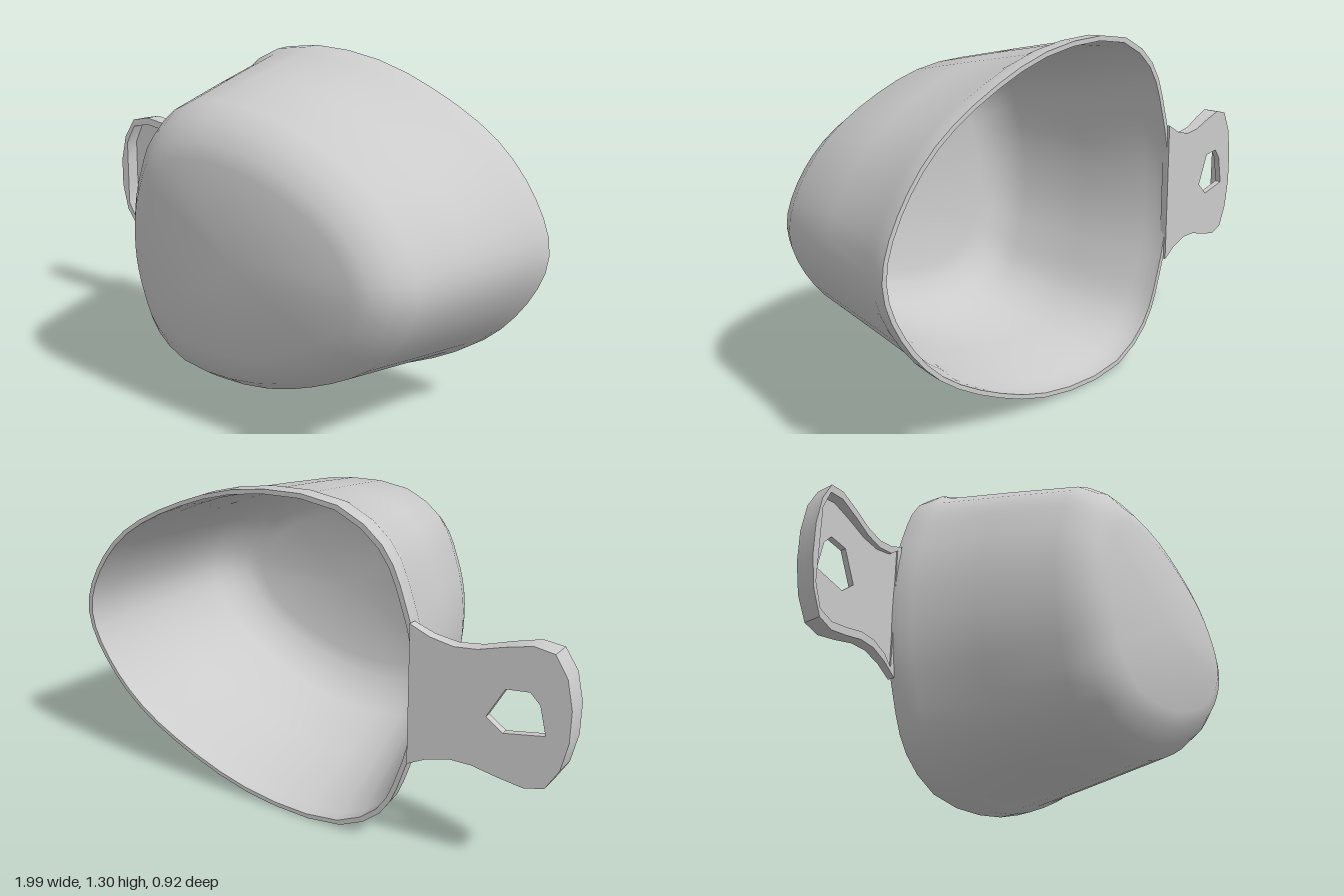
import * as THREE from 'three';
import { toCreasedNormals } from 'three/addons/utils/BufferGeometryUtils.js';

const MID = 0.65; // height of the mirror plane
const V3 = (x, y, z) => new THREE.Vector3(x, y, z);

// Closed egg outline, u = 0..1 along its length, v = -1..1 across
function eggOutline(count) {
  const half = [[0, 0], [0.006, 0.22], [0.03, 0.46], [0.1, 0.81], [0.21, 0.97], [0.33, 1],
    [0.5, 0.955], [0.67, 0.82], [0.84, 0.6], [0.955, 0.3], [1, 0]];
  const lower = half.slice(1, -1).reverse().map(([u, v]) => [u, -v]);
  const curve = new THREE.CatmullRomCurve3([...half, ...lower].map(([u, v]) => V3(u, v, 0)), true);
  return curve.getSpacedPoints(count).slice(0, count);
}

// Cup: egg-shaped rings from the closed front, over the rim, and back down inside
function cupGeometry() {
  const n = 48, wall = 0.018, egg = eggOutline(n);
  // [z at x = 0, left x, right x, half height]
  const outer = [
    [0.447, -0.14, 0.78, 0.35],
    [0.425, -0.2, 0.84, 0.41],
    [0.375, -0.255, 0.89, 0.475],
    [0.3, -0.29, 0.925, 0.525],
    [0.02, -0.375, 0.95, 0.58],
    [-0.25, -0.455, 0.978, 0.63],
    [-0.29, -0.475, 0.99, 0.648],
    [-0.35, -0.482, 0.995, 0.65],
  ];
  const inner = outer.map(([z, a, b, h], i) =>
    [i === 7 ? z : z - wall * (i < 3 ? 1 : 0.3), a + wall, b - wall, h - wall]).reverse();
  const rings = [...outer, ...inner];
  const pos = [], index = [];
  for (const [z, a, b, h] of rings) {
    for (const p of egg) {
      const x = a + (b - a) * p.x;
      pos.push(x, MID + h * p.y, z - 0.105 * x);
    }
  }
  for (let r = 0; r < rings.length - 1; r++) {
    for (let i = 0; i < n; i++) {
      const j = (i + 1) % n, a = r * n + i, b = r * n + j;
      index.push(a, b, b + n, a, b + n, a + n);
    }
  }
  // Flat floor, outside and inside
  const last = (rings.length - 1) * n, c = pos.length / 3;
  pos.push(0.3, MID, 0.455 - 0.0315, 0.3, MID, 0.43 - 0.0315);
  for (let i = 0; i < n; i++) {
    const j = (i + 1) % n;
    index.push(c, j, i, c + 1, last + i, last + j);
  }
  const g = new THREE.BufferGeometry();
  g.setAttribute('position', new THREE.Float32BufferAttribute(pos, 3));
  g.setIndex(index);
  return toCreasedNormals(g, 0.6);
}

// Handle outline, optionally drawn in from the edge
function handlePoints(inset = 0) {
  const side = [[-0.45, 0.27], [-0.52, 0.235], [-0.6, 0.215], [-0.68, 0.22], [-0.77, 0.245],
    [-0.86, 0.265], [-0.93, 0.25], [-0.975, 0.17], [-0.997, 0.06]]
    .map(([x, y]) => [Math.min(Math.max(x, -0.997 + inset), -0.47 - inset * 0.2 + (inset ? 0 : 0.02)), y - inset * (y > 0.1 ? 1 : 0.3)]);
  const up = side.map(([x, y]) => new THREE.Vector2(x, MID + y));
  const down = side.map(([x, y]) => new THREE.Vector2(x, MID - y)).reverse();
  return [...up, ...down];
}

// Extrude forward, then lean the slab so its tip comes forward
function leaningSlab(shape, depthAt) {
  const g = new THREE.ExtrudeGeometry(shape, { depth: 1, bevelEnabled: false });
  const p = g.attributes.position;
  for (let i = 0; i < p.count; i++) {
    const t = (-0.46 - p.getX(i)) / 0.54;
    p.setZ(i, -0.31 + 0.12 * t + p.getZ(i) * depthAt(t));
  }
  return toCreasedNormals(g, 0.6);
}

export function createModel() {
  const group = new THREE.Group();
  const material = new THREE.MeshStandardMaterial({ color: 0xcccccc, side: THREE.DoubleSide });
  const add = (name, geometry) => {
    const mesh = new THREE.Mesh(geometry, material);
    mesh.name = name;
    group.add(mesh);
  };

  add('cup', cupGeometry());

  // Handle plate with its hanging hole
  const plate = new THREE.Shape(handlePoints());
  plate.holes.push(new THREE.Path([[-0.92, 0.6], [-0.895, 0.71], [-0.86, 0.75], [-0.78, 0.745],
    [-0.72, 0.63], [-0.78, 0.58]].map(([x, y]) => new THREE.Vector2(x, y))));
  add('handlePlate', leaningSlab(plate, () => 0.025));

  // Raised edge around the handle, deepest at the tip
  const edge = new THREE.Shape(handlePoints());
  edge.holes.push(new THREE.Path(handlePoints(0.03)));
  add('handleEdge', leaningSlab(edge, (t) => 0.03 + 0.05 * Math.max(0, t)));

  return group;
}
